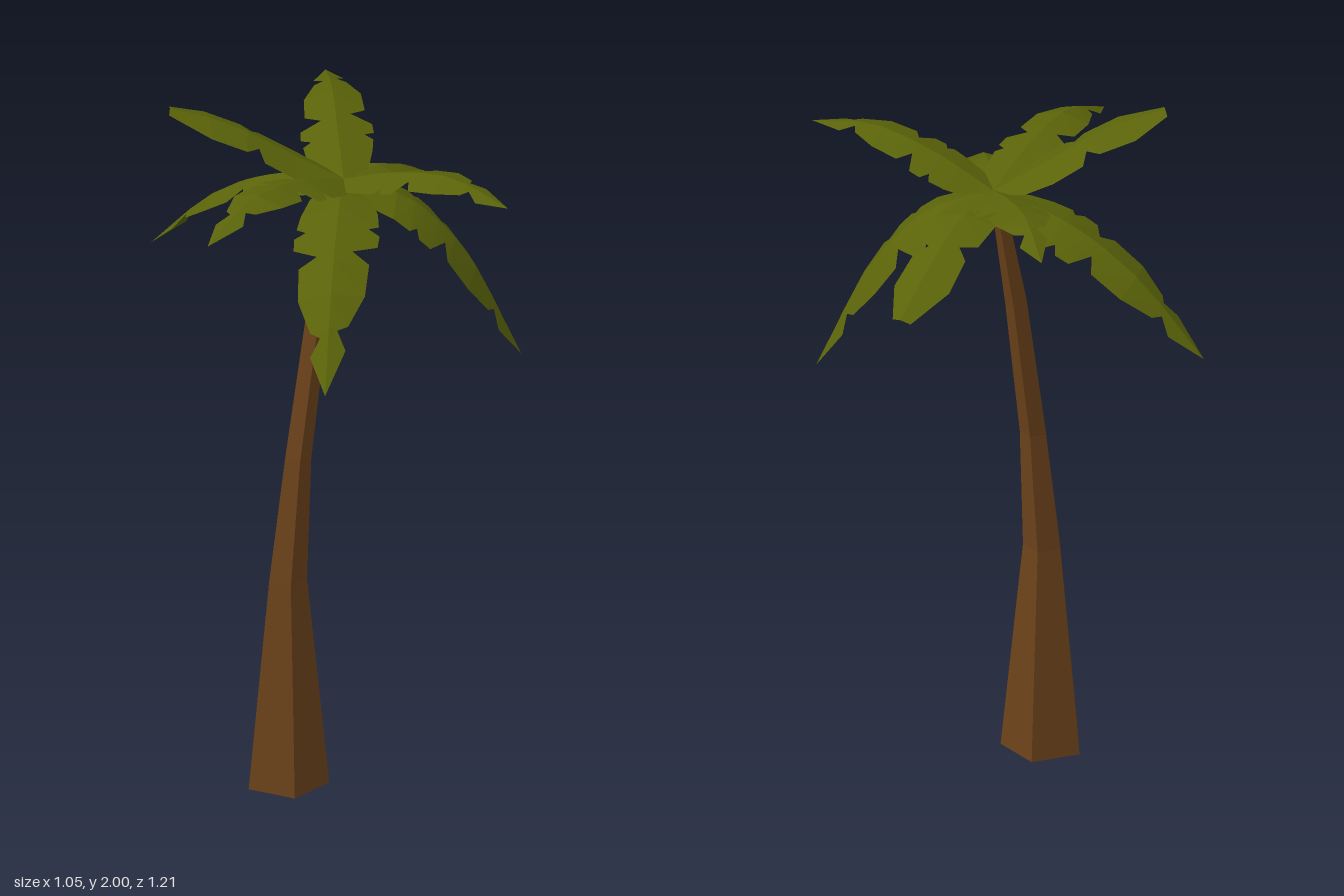
import * as THREE from 'three';

const bark = new THREE.MeshStandardMaterial({ color: 0x6b421a, flatShading: true, side: THREE.DoubleSide });
const green = new THREE.MeshStandardMaterial({ color: 0x5a6309, flatShading: true, side: THREE.DoubleSide });

// Trunk rings: [centre x, y, centre z, radius], bottom to top
const RINGS = [
  [-0.14, 0, -0.003, 0.119],
  [-0.139, 0.62, -0.002, 0.056],
  [-0.108, 0.98, 0.008, 0.039],
  [-0.041, 1.4, 0.018, 0.033],
  [0.026, 1.71, 0.028, 0.022],
  [0.045, 1.78, 0.033, 0.032],
];

// Leaf outlines: [distance along the rib, half width]; the notches are sudden drops in width
const POINTED = [[0, 0.02], [0.06, 0.045], [0.1, 0.075], [0.2, 0.092], [0.28, 0.098], [0.305, 0.075],
  [0.33, 0.102], [0.39, 0.1], [0.435, 0.042], [0.48, 0.084], [0.62, 0.08], [0.75, 0.045],
  [0.77, 0.02], [0.84, 0.042], [1, 0]];
const BLUNT = [[0, 0.02], [0.06, 0.045], [0.12, 0.075], [0.28, 0.092], [0.46, 0.09], [0.51, 0.045],
  [0.57, 0.08], [0.78, 0.086], [1, 0.03]];

const CROWN = new THREE.Vector3(0.05, 1.785, 0.035);

// Leaves: name, tip x, tip z, rib heights at 1/3, 2/3 and the tip, width scale, outline
const LEAVES = [
  ['backLeaf', -0.04, -0.605, [1.742, 1.625, 1.41], 1.13, POINTED],
  ['backLeftLeaf', 0.43, -0.385, [1.85, 1.89, 1.845], 1, POINTED],
  ['leftLeaf', 0.525, 0.02, [1.775, 1.70, 1.59], 0.97, BLUNT],
  ['frontLeftLeaf', 0.36, 0.415, [1.742, 1.59, 1.265], 1.15, POINTED],
  ['frontLeaf', 0.105, 0.602, [1.86, 1.897, 1.86], 0.97, POINTED],
  ['frontRightLeaf', -0.485, 0.462, [1.765, 1.662, 1.45], 1.15, POINTED],
  ['rightLeaf', -0.527, 0.06, [1.85, 1.867, 1.79], 0.95, POINTED],
  ['backRightLeaf', -0.275, -0.315, [1.87, 1.955, 2.0], 0.95, BLUNT],
];

// Five-sided trunk, open at both ends
function makeTrunk() {
  const last = RINGS.length - 1;
  const geo = new THREE.CylinderGeometry(1, 1, last, 5, last, true, Math.PI);
  const p = geo.attributes.position;
  for (let i = 0; i < p.count; i++) {
    const [cx, y, cz, r] = RINGS[Math.round(p.getY(i) + last / 2)];
    p.setXYZ(i, cx + p.getX(i) * r, y, cz + p.getZ(i) * r);
  }
  geo.computeVertexNormals();
  const trunk = new THREE.Mesh(geo, bark);
  trunk.name = 'trunk';
  return trunk;
}

// A blade folded along its rib, both halves sloping down to a notched edge
function makeLeaf([name, tx, tz, heights, scale, outline]) {
  const at = (f, y) => new THREE.Vector3(
    THREE.MathUtils.lerp(CROWN.x, tx, f), y, THREE.MathUtils.lerp(CROWN.z, tz, f));
  const rib = new THREE.CatmullRomCurve3([CROWN, ...heights.map((y, i) => at((i + 1) / 3, y))]);
  const up = new THREE.Vector3(0, 1, 0);
  const pos = [];
  const index = [];
  outline.forEach(([t, halfWidth], i) => {
    const w = halfWidth * scale;
    const c = rib.getPointAt(t);
    const tangent = rib.getTangentAt(t);
    const side = new THREE.Vector3().crossVectors(tangent, up).normalize();
    const normal = new THREE.Vector3().crossVectors(side, tangent);
    const edge = (s) => {
      // One edge's notches sit a little further along than the other's
      const shift = t > 0.1 && t < 0.9 ? s * 0.012 : 0;
      return c.clone().addScaledVector(side, s * w)
        .addScaledVector(normal, -0.3 * w).addScaledVector(tangent, shift);
    };
    pos.push(...edge(-1).toArray(), ...c.toArray(), ...edge(1).toArray());
    if (i === 0) return;
    const b = i * 3, a = b - 3;
    for (const k of [0, 1]) {
      index.push(a + k, a + k + 1, b + k, a + k + 1, b + k + 1, b + k);
    }
  });
  let geo = new THREE.BufferGeometry();
  geo.setAttribute('position', new THREE.Float32BufferAttribute(pos, 3));
  geo.setIndex(index);
  geo = geo.toNonIndexed();
  geo.computeVertexNormals();
  const leaf = new THREE.Mesh(geo, green);
  leaf.name = name;
  return leaf;
}

export function createModel() {
  const palm = new THREE.Group();
  palm.name = 'palmTree';
  const leaves = new THREE.Group();
  leaves.name = 'leaves';
  LEAVES.forEach((l) => leaves.add(makeLeaf(l)));
  palm.add(makeTrunk(), leaves);
  return palm;
}
